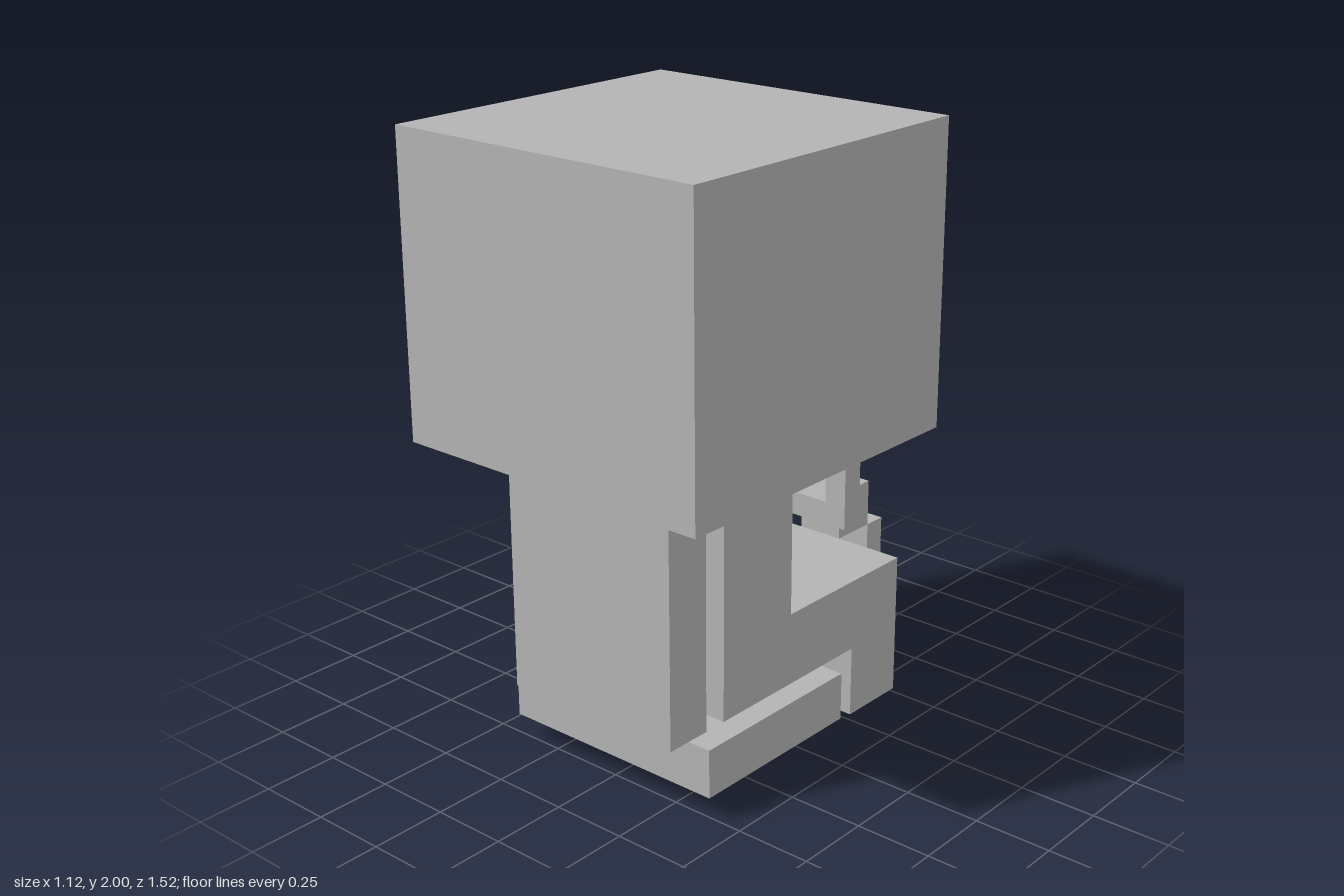
import * as THREE from 'three';

const grey = new THREE.MeshStandardMaterial({ color: 0xb3b3b3 });
grey.name = 'plain grey';

// Box centred on x, given half width and its y and z ranges
function block(name, halfWidth, [y0, y1], [z0, z1]) {
  const mesh = new THREE.Mesh(new THREE.BoxGeometry(halfWidth * 2, y1 - y0, z1 - z0), grey);
  mesh.position.set(0, (y0 + y1) / 2, (z0 + z1) / 2);
  mesh.name = name;
  return mesh;
}

// Flat outline extruded by a depth and centred on that depth
function plate(shape, depth) {
  return new THREE.ExtrudeGeometry(shape, { depth, bevelEnabled: false }).translate(0, 0, -depth / 2);
}

const points = (list) => list.map(([a, b]) => new THREE.Vector2(a, b));
const rect = (x, y0, y1) => points([[-x, y0], [x, y0], [x, y1], [-x, y1]]);

export function createModel() {
  const model = new THREE.Group();
  model.name = 'blockFigure';

  model.add(
    block('head', 0.56, [1.04, 2], [-0.36, 0.76]),
    block('frontPanel', 0.32, [0.24, 0.96], [0.44, 0.6]),
    block('basePlate', 0.4, [0.08, 0.24], [-0.12, 0.52]),
    block('tailBase', 0.08, [0.48, 0.64], [-0.68, -0.52]),
    block('tailTip', 0.08, [0.32, 0.48], [-0.76, -0.68]),
  );

  // Upright torso, haunch and rear leg in one side profile (z, y)
  const profile = new THREE.Shape(points([
    [0.36, 0.24], [0.36, 1.04], [0.04, 1.04], [0.04, 0.48],
    [-0.52, 0.48], [-0.52, 0], [-0.28, 0], [-0.28, 0.24],
  ]));
  const body = new THREE.Mesh(plate(profile, 0.64).rotateY(-Math.PI / 2), grey);
  body.name = 'body';
  model.add(body);

  // Square ring in front of the tail
  const frame = new THREE.Shape(rect(0.16, 0.56, 0.88));
  frame.holes.push(new THREE.Path(rect(0.08, 0.64, 0.8)));
  const ring = new THREE.Mesh(plate(frame, 0.08), grey);
  ring.position.z = -0.48;
  ring.name = 'tailRing';
  model.add(ring);

  return model;
}
